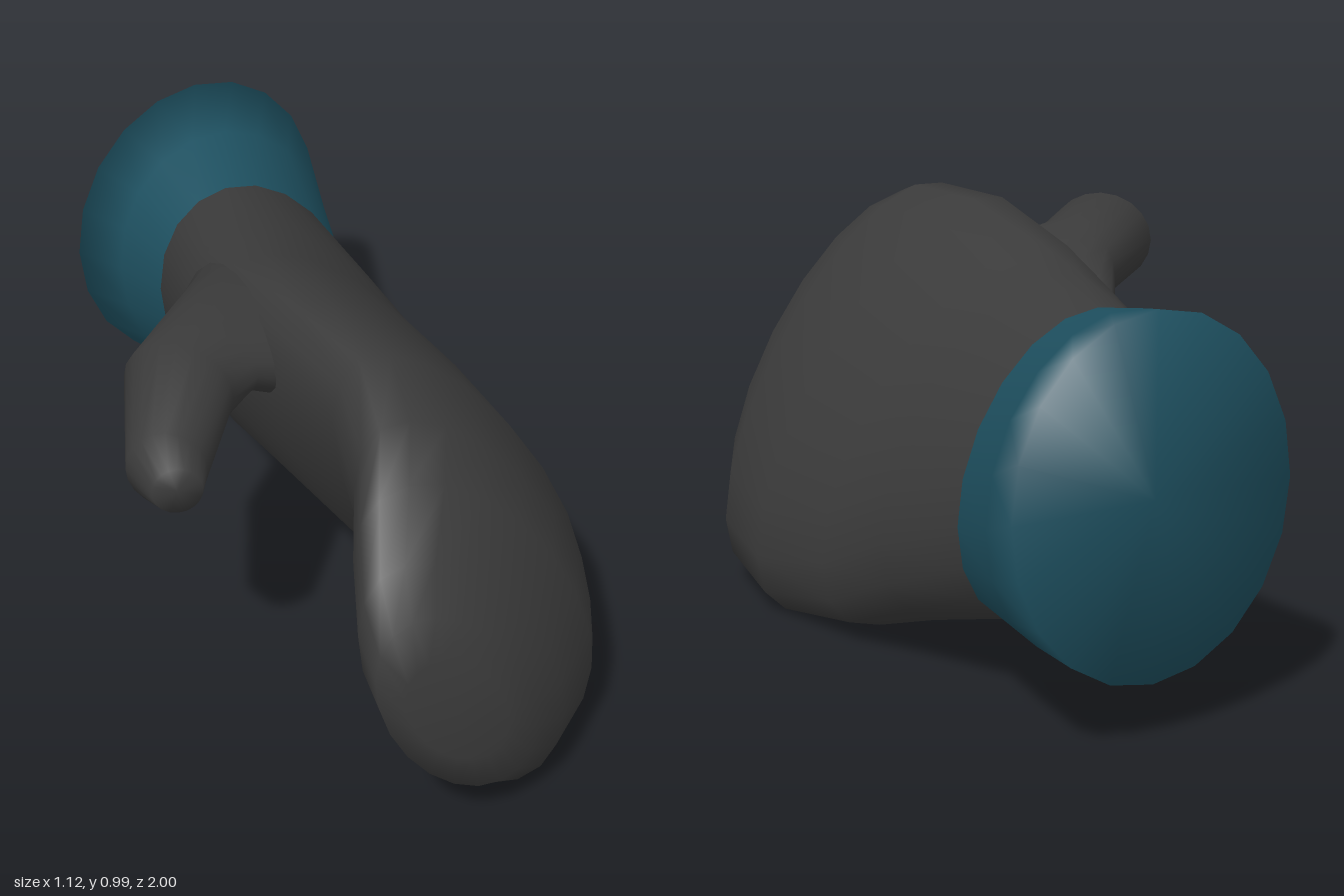
import * as THREE from 'three';

const SIDES = 20;

// Skin a run of sheared-ellipse rings. Each ring is
// [xA, zA, xB, zB, yMin, yMax, shear]: A and B are its -x and +x ends, seen from above.
function loft(name, rings, color, capStart, capEnd) {
  const pos = [], idx = [];
  for (const [xa, za, xb, zb, y0, y1, shear] of rings) {
    for (let j = 0; j < SIDES; j++) {
      const t = (j / SIDES) * Math.PI * 2, c = Math.cos(t), s = Math.sin(t);
      pos.push(
        (xa + xb) / 2 + ((xb - xa) / 2) * c,
        (y0 + y1) / 2 + ((y1 - y0) / 2) * (shear * c + Math.sqrt(1 - shear * shear) * s),
        (za + zb) / 2 + ((zb - za) / 2) * c
      );
    }
  }
  for (let i = 0; i < rings.length - 1; i++) {
    for (let j = 0; j < SIDES; j++) {
      const k = (j + 1) % SIDES;
      const a = i * SIDES + j, b = i * SIDES + k;
      idx.push(a, b, b + SIDES, a, b + SIDES, a + SIDES);
    }
  }
  const cap = (i, flip) => {
    const [xa, za, xb, zb, y0, y1] = rings[i];
    const centre = pos.length / 3;
    pos.push((xa + xb) / 2, (y0 + y1) / 2, (za + zb) / 2);
    for (let j = 0; j < SIDES; j++) {
      const a = i * SIDES + j, b = i * SIDES + ((j + 1) % SIDES);
      if (flip) idx.push(centre, b, a);
      else idx.push(centre, a, b);
    }
  };
  if (capStart) cap(0, true);
  if (capEnd) cap(rings.length - 1, false);

  const geo = new THREE.BufferGeometry();
  geo.setAttribute('position', new THREE.Float32BufferAttribute(pos, 3));
  geo.setIndex(idx);
  geo.computeVertexNormals();
  const mesh = new THREE.Mesh(geo, new THREE.MeshStandardMaterial({ color }));
  mesh.name = name;
  return mesh;
}

export function createModel() {
  const group = new THREE.Group();
  group.name = 'mitten';
  const dark = 0x3b3b3b, teal = 0x1e5060;
  const wrist = [-0.2, -0.51, 0.34, -0.59, 0.18, 0.87, -0.3];

  // Flared cuff with a closed, slanted end
  group.add(loft('cuff', [
    [-0.315, -0.88, 0.385, -1.0, 0.138, 0.95, 0],
    [-0.25, -0.7, 0.36, -0.8, 0.155, 0.91, -0.15],
    wrist,
  ], teal, true, false));

  // Palm and fingers, tilted and curling towards the palm at the tip
  group.add(loft('hand', [
    wrist,
    [-0.21, -0.28, 0.42, -0.32, 0.11, 0.9, -0.48],
    [-0.2, -0.1, 0.49, -0.1, 0.04, 0.94, -0.62],
    [-0.165, 0.21, 0.56, 0.19, 0, 1.0, -0.7],
    [-0.1, 0.47, 0.56, 0.46, 0.03, 1.0, -0.71],
    [-0.115, 0.65, 0.49, 0.65, 0.06, 0.95, -0.66],
    [-0.165, 0.78, 0.43, 0.77, 0.065, 0.88, -0.59],
    [-0.19, 0.88, 0.3, 0.9, 0.067, 0.76, -0.52],
    [-0.18, 0.96, 0.2, 0.97, 0.15, 0.67, -0.45],
    [-0.12, 0.985, 0.12, 1.0, 0.27, 0.57, -0.4],
  ], dark, false, true));

  // Thumb, its root sunk into the side of the hand
  group.add(loft('thumb', [
    [-0.04, -0.4, 0.15, 0.1, 0.66, 0.88, 0],
    [-0.19, -0.25, -0.02, 0.25, 0.67, 0.925, 0],
    [-0.25, -0.12, -0.195, 0.25, 0.75, 0.95, 0],
    [-0.485, 0.17, -0.28, 0.33, 0.75, 0.98, 0],
    [-0.565, 0.45, -0.4, 0.515, 0.73, 0.92, 0],
    [-0.53, 0.525, -0.42, 0.545, 0.745, 0.86, 0],
  ], dark, true, true));

  return group;
}
